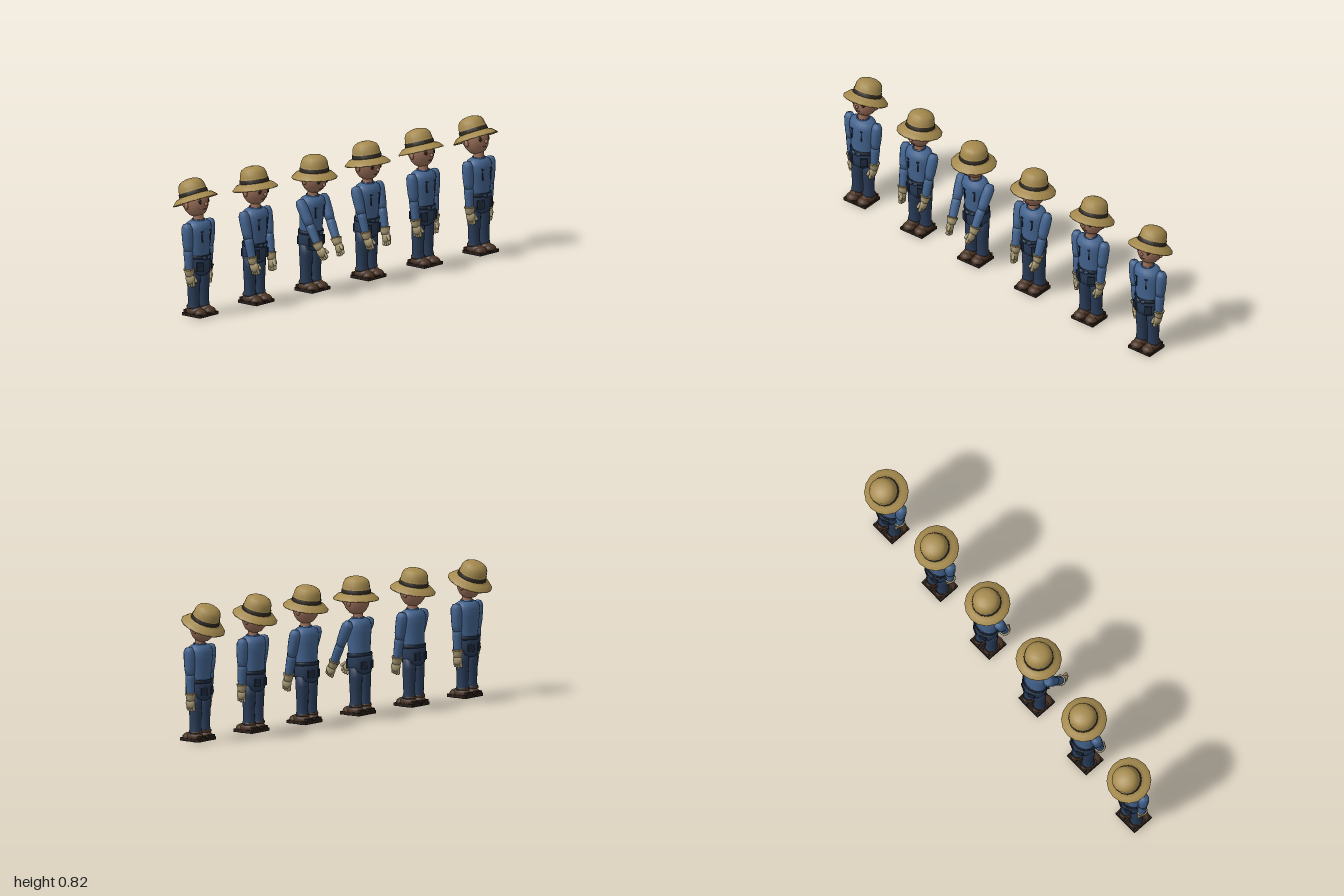
import * as THREE from 'three';

const mat = (color) => new THREE.MeshStandardMaterial({ color });
const M = {
  shirt: mat(0x44648f), denim: mat(0x283a55), dark: mat(0x1c2738), skin: mat(0x9c705a),
  straw: mat(0xa58a4e), band: mat(0x2e2820), glove: mat(0xa99a74), cuff: mat(0x80693f),
  shoe: mat(0x4a3324), sole: mat(0x261c17), hair: mat(0x2c1f1a), lips: mat(0x6e4239),
};

function add(parent, name, geo, material, pos = [0, 0, 0], scale = [1, 1, 1], rot = [0, 0, 0]) {
  const m = new THREE.Mesh(geo, material);
  m.name = name;
  m.position.set(...pos);
  m.scale.set(...scale);
  m.rotation.set(...rot);
  parent.add(m);
  return m;
}
function group(parent, name, pos = [0, 0, 0], rot = [0, 0, 0]) {
  const g = new THREE.Group();
  g.name = name;
  g.position.set(...pos);
  g.rotation.set(...rot);
  parent.add(g);
  return g;
}
// profile of [radius, height] pairs, listed from bottom to top
const lathe = (pts, seg = 16) => new THREE.LatheGeometry(pts.map(([r, y]) => new THREE.Vector2(r, y)), seg);
const ball = new THREE.SphereGeometry(1, 18, 12);
const box = new THREE.BoxGeometry(1, 1, 1);

const G = {
  torso: lathe([[0, 0.33], [0.074, 0.335], [0.077, 0.37], [0.08, 0.42], [0.088, 0.48], [0.09, 0.52],
    [0.08, 0.548], [0.055, 0.562], [0.03, 0.567], [0, 0.567]], 20),
  hips: lathe([[0, 0.235], [0.05, 0.238], [0.074, 0.255], [0.081, 0.29], [0.081, 0.33], [0.077, 0.355], [0, 0.357]], 20),
  leg: lathe([[0, 0.045], [0.037, 0.045], [0.038, 0.06], [0.034, 0.075], [0.035, 0.14], [0.037, 0.16],
    [0.039, 0.22], [0.04, 0.28], [0, 0.29]]),
  upperArm: lathe([[0, -0.14], [0.026, -0.137], [0.031, -0.1], [0.033, -0.04], [0.032, 0], [0.022, 0.022], [0, 0.028]], 12),
  forearm: lathe([[0, -0.255], [0.024, -0.255], [0.025, -0.235], [0.028, -0.16], [0.027, -0.135], [0.015, -0.122], [0, -0.12]], 12),
  cuff: lathe([[0, -0.29], [0.025, -0.288], [0.027, -0.27], [0.032, -0.25], [0.031, -0.243], [0, -0.243]], 12),
  head: lathe([[0, 0.008], [0.025, 0.011], [0.048, 0.025], [0.067, 0.052], [0.078, 0.085], [0.081, 0.115],
    [0.076, 0.15], [0.055, 0.175], [0, 0.185]], 20),
  neck: lathe([[0.034, -0.035], [0.03, -0.01], [0.03, 0.035]], 14),
  hat: lathe([[0.07, -0.008], [0.105, -0.015], [0.128, -0.035], [0.134, -0.037], [0.134, -0.031], [0.108, -0.006],
    [0.084, 0.002], [0.081, 0.035], [0.077, 0.06], [0.066, 0.08], [0.045, 0.092], [0.02, 0.098], [0, 0.099]], 16),
  band: lathe([[0.083, 0], [0.087, 0.002], [0.085, 0.024], [0.08, 0.024]], 16),
  finger: new THREE.CapsuleGeometry(0.0085, 0.026, 3, 8),
  ring: new THREE.TorusGeometry(1, 0.07, 6, 24),
};

function addLeg(body, s) {
  const leg = group(body, s > 0 ? 'leftLeg' : 'rightLeg', [s * 0.041, 0, 0]);
  add(leg, 'trouserLeg', G.leg, M.denim);
  // shoe: rounded upper, toe cap, ankle collar and flat sole
  add(leg, 'sole', box, M.sole, [0, 0.009, 0.015], [0.08, 0.018, 0.138]);
  add(leg, 'shoeUpper', ball, M.shoe, [0, 0.026, 0.008], [0.039, 0.034, 0.06]);
  add(leg, 'toeCap', ball, M.shoe, [0, 0.02, 0.05], [0.039, 0.028, 0.036]);
  add(leg, 'heel', box, M.sole, [0, 0.024, -0.045], [0.055, 0.018, 0.022]);
  add(leg, 'shoeCollar', G.ring, M.shoe, [0, 0.053, -0.005], [0.036, 0.036, 0.1], [Math.PI / 2, 0, 0]);
  for (const z of [0.027, 0.04]) add(leg, 'lace', box, M.sole, [0, 0.056 - (z - 0.027) * 0.6, z], [0.034, 0.005, 0.005]);
}

function addArm(torso, s, swing) {
  const arm = group(torso, s > 0 ? 'leftArm' : 'rightArm', [s * 0.101, 0.53, 0], [-swing, 0, -s * 0.07]);
  add(arm, 'upperSleeve', G.upperArm, M.shirt);
  add(arm, 'lowerSleeve', G.forearm, M.shirt);
  add(arm, 'gloveCuff', G.cuff, M.glove);
  add(arm, 'cuffTrim', G.ring, M.cuff, [0, -0.248, 0], [0.031, 0.031, 0.06], [Math.PI / 2, 0, 0]);
  add(arm, 'palm', ball, M.glove, [0, -0.305, 0.004], [0.02, 0.033, 0.031]);
  for (let i = 0; i < 4; i++) {
    const z = -0.018 + i * 0.0145;
    add(arm, 'finger', G.finger, M.glove, [-s * 0.003, -0.337 + Math.abs(z - 0.004) * 0.3, z], [1, 1, 1], [0, 0, -s * 0.15]);
  }
  add(arm, 'thumb', G.finger, M.glove, [-s * 0.012, -0.308, 0.03], [1.1, 1, 1.1], [-0.45, 0, -s * 0.2]);
}

function addHead(torso, tilt) {
  add(torso, 'neck', G.neck, M.skin, [0, 0.58, 0]);
  const head = group(torso, 'head', [0, 0.575, 0], [-tilt, 0, 0]);
  add(head, 'skull', G.head, M.skin);
  add(head, 'nose', ball, M.skin, [0, 0.074, 0.079], [0.009, 0.011, 0.012]);
  add(head, 'mouth', ball, M.lips, [0, 0.046, 0.062], [0.016, 0.0035, 0.005]);
  for (const s of [-1, 1]) {
    add(head, 'eye', ball, M.hair, [s * 0.036, 0.093, 0.069], [0.009, 0.014, 0.006], [0, s * 0.48, 0]);
    add(head, 'eyebrow', box, M.hair, [s * 0.037, 0.117, 0.071], [0.024, 0.005, 0.006], [0, s * 0.48, -s * 0.12]);
    add(head, 'ear', ball, M.skin, [s * 0.08, 0.083, -0.004], [0.009, 0.02, 0.014]);
    add(head, 'sideburn', box, M.hair, [s * 0.076, 0.115, 0.008], [0.008, 0.03, 0.012]);
  }
  // straw hat, resting slightly back on the head
  const hat = group(head, 'hat', [0, 0.135, -0.003], [-0.14, 0, 0]);
  add(hat, 'strawHat', G.hat, M.straw).material.side = THREE.DoubleSide;
  add(hat, 'hatBand', G.band, M.band);
}

function addFigure(parent, x, z, { lean, tilt, swing }) {
  const body = group(parent, 'farmer', [x, 0, z], [0, Math.PI / 4, 0]);
  for (const s of [-1, 1]) addLeg(body, s);
  add(body, 'trouserSeat', G.hips, M.denim, [0, 0, 0], [1, 1, 0.84]);

  // everything above the waist leans about the hips
  const waist = group(body, 'upperBody', [0, 0.3, 0], [lean, 0, 0]);
  const torso = group(waist, 'torso', [0, -0.3, 0]);
  add(torso, 'shirt', G.torso, M.shirt, [0, 0, 0], [1, 1, 0.74]);
  add(torso, 'collar', G.ring, M.shirt, [0, 0.565, 0], [0.037, 0.037, 0.1], [Math.PI / 2, 0, 0]);
  add(torso, 'belt', G.ring, M.dark, [0, 0.352, 0], [0.077, 0.065, 0.17], [Math.PI / 2, 0, 0]);
  for (const s of [-1, 1]) {
    addArm(torso, s, swing);
    add(torso, 'chestStrap', box, M.dark, [s * 0.035, 0.475, 0.06], [0.007, 0.065, 0.006], [-0.1, s * 0.3, 0]);
    add(torso, 'strapBuckle', box, M.dark, [s * 0.035, 0.505, 0.061], [0.016, 0.008, 0.008], [0, s * 0.3, 0]);
    add(body, 'hipPouch', box, M.dark, [s * 0.047, 0.298, 0.053], [0.042, 0.052, 0.018], [0, s * 0.55, 0]);
    add(body, 'backPocket', box, M.dark, [s * 0.036, 0.295, -0.06], [0.04, 0.045, 0.008], [0, -s * 0.4, 0]);
    add(torso, 'beltKnot', ball, M.denim, [s * 0.017, 0.347, 0.066], [0.018, 0.011, 0.01], [0, 0, s * 0.4]);
  }
  addHead(torso, tilt);
}

export function createModel() {
  const model = new THREE.Group();
  model.name = 'rowOfFarmers';
  // one pose per figure: the row nods down and swings the arms forward, then straightens
  const poses = [
    { lean: 0, tilt: 0.24, swing: 0.01 },
    { lean: 0.03, tilt: 0.07, swing: 0.22 },
    { lean: 0.06, tilt: -0.06, swing: 0.52 },
    { lean: 0.03, tilt: 0.05, swing: 0.27 },
    { lean: 0.01, tilt: 0.17, swing: 0.07 },
    { lean: 0, tilt: 0.26, swing: 0.01 },
  ];
  poses.forEach((pose, i) => addFigure(model, -0.848 + 0.346 * i, 0.758 - 0.294 * i, pose));
  return model;
}
